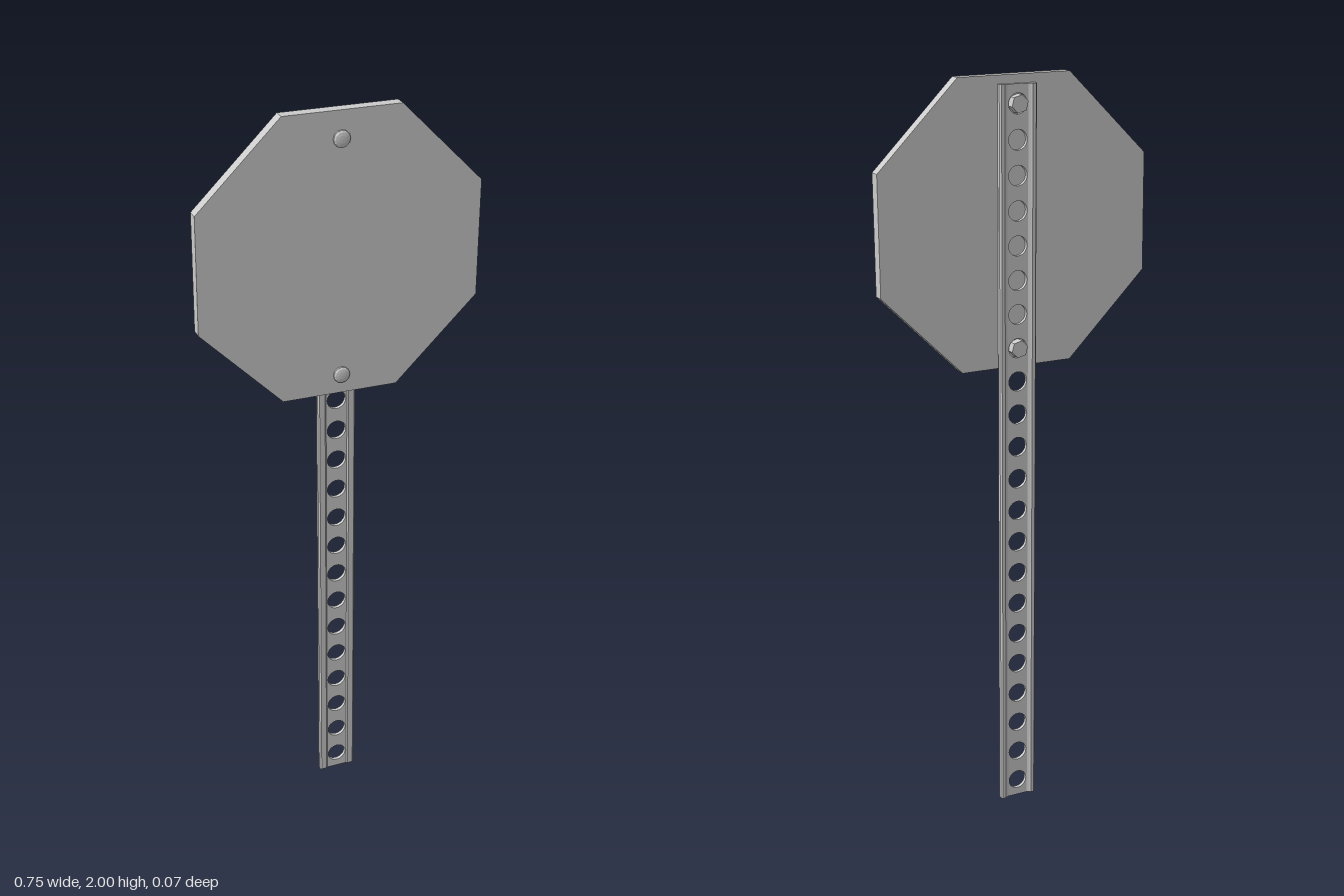
import * as THREE from 'three';

const material = new THREE.MeshStandardMaterial({ color: 0xcccccc, flatShading: true });
const POST_HEIGHT = 1.975;
const HOLE_COUNT = 22, HOLE_START = 0.047, HOLE_STEP = 0.0895, HOLE_RADIUS = 0.026;
const holeY = (i) => HOLE_START + i * HOLE_STEP;

function addMesh(parent, name, geometry) {
  const mesh = new THREE.Mesh(geometry, material);
  mesh.name = name;
  parent.add(mesh);
  return mesh;
}

function polygon(points) {
  return new THREE.Shape(points.map(([x, y]) => new THREE.Vector2(x, y)));
}

// Thick octagonal plate, turned a touch as if hung by hand
function signPlate() {
  const radius = 0.405, points = [];
  for (let i = 0; i < 8; i++) {
    const a = (i + 0.5) * Math.PI / 4 - 0.009;
    points.push([Math.cos(a) * radius, Math.sin(a) * radius]);
  }
  return new THREE.ExtrudeGeometry(polygon(points), { depth: 0.031, bevelEnabled: false })
    .translate(0, 1.623, -0.009);
}

// Thin centre strip of the post with a row of punched holes
function postWeb() {
  const w = 0.031;
  const shape = polygon([[-w, 0], [w, 0], [w, POST_HEIGHT], [-w, POST_HEIGHT]]);
  for (let i = 0; i < HOLE_COUNT; i++) {
    shape.holes.push(new THREE.Path().absarc(0, holeY(i), HOLE_RADIUS, 0, Math.PI * 2, true));
  }
  return new THREE.ExtrudeGeometry(shape, { depth: 0.01, bevelEnabled: false, curveSegments: 16 })
    .translate(0, 0, -0.022);
}

// Rounded edge rail; the section is drawn as [x, distance behind z = 0]
function postRail(side) {
  const section = [
    [0.029, 0.012], [0.033, 0.009], [0.048, 0.009], [0.052, 0.013], [0.052, 0.023],
    [0.048, 0.028], [0.039, 0.028], [0.035, 0.025], [0.029, 0.022],
  ].map(([x, d]) => [x * side, d]);
  return new THREE.ExtrudeGeometry(polygon(section), { depth: POST_HEIGHT, bevelEnabled: false })
    .rotateX(-Math.PI / 2);
}

// Domed head in front, shank through the plate, hex nut behind
function bolt(y) {
  const group = new THREE.Group();
  group.name = 'bolt';
  group.position.y = y;
  const profile = [[0.022, 0.02], [0.022, 0.027], [0.018, 0.03], [0.01, 0.0315], [0, 0.032]]
    .map(([r, z]) => new THREE.Vector2(r, z));
  addMesh(group, 'boltHead', new THREE.LatheGeometry(profile, 12).rotateX(Math.PI / 2));
  addMesh(group, 'boltShank',
    new THREE.CylinderGeometry(0.013, 0.013, 0.044, 12).rotateX(Math.PI / 2));
  addMesh(group, 'boltNut',
    new THREE.CylinderGeometry(0.0235, 0.0235, 0.025, 6).rotateX(Math.PI / 2)
      .rotateZ(0.26).translate(0, 0, -0.023));
  return group;
}

export function createModel() {
  const model = new THREE.Group();
  model.name = 'roadSign';
  addMesh(model, 'signPlate', signPlate());

  const post = new THREE.Group();
  post.name = 'post';
  addMesh(post, 'postWeb', postWeb());
  addMesh(post, 'leftRail', postRail(1));
  addMesh(post, 'rightRail', postRail(-1));
  model.add(post);

  // The bolts sit in the top hole and the hole just inside the lower edge of the plate
  for (const i of [14, HOLE_COUNT - 1]) model.add(bolt(holeY(i)));
  return model;
}
